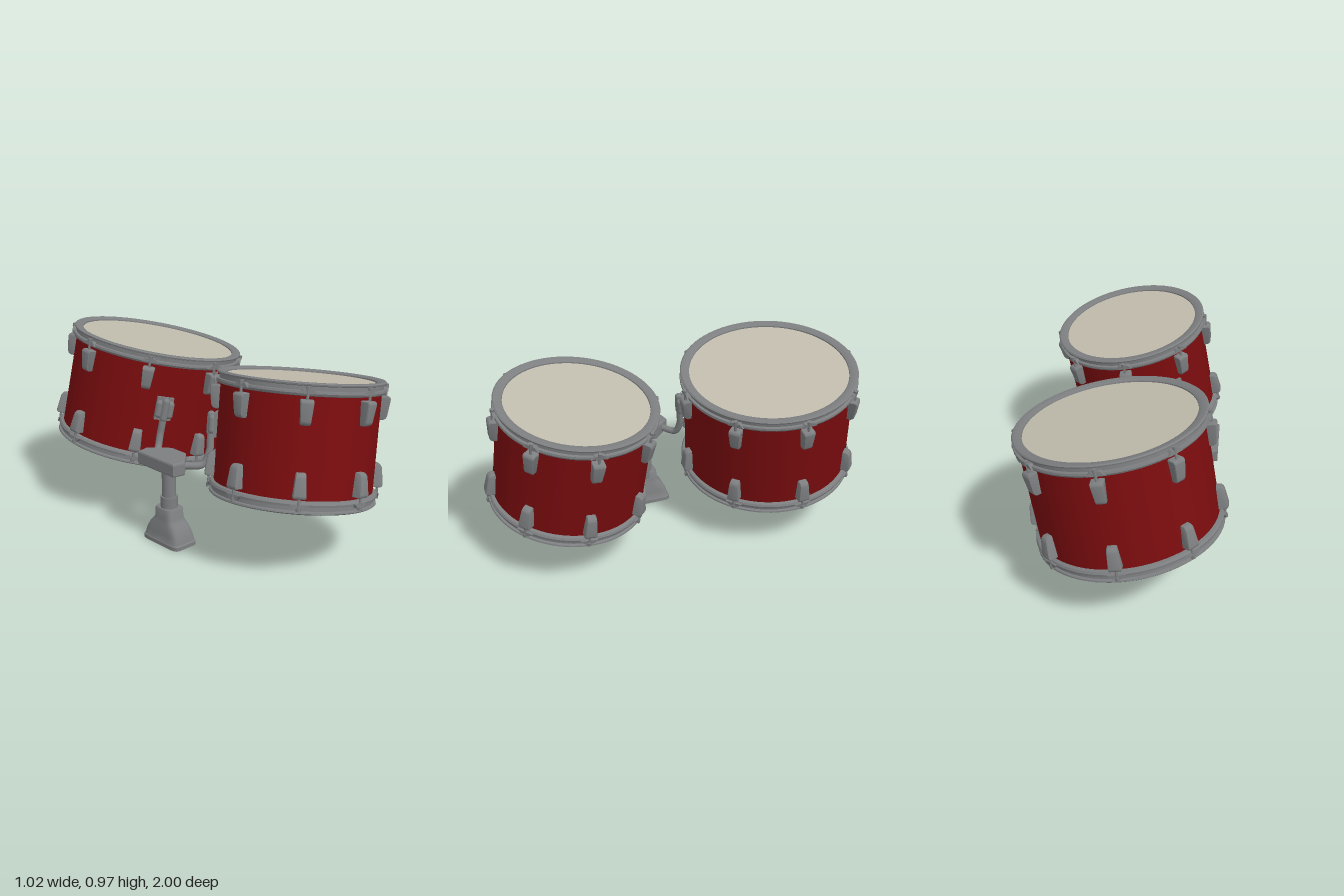
import * as THREE from 'three';
import { toCreasedNormals } from 'three/addons/utils/BufferGeometryUtils.js';

const material = (name, color) => {
  const m = new THREE.MeshStandardMaterial({ color, side: THREE.DoubleSide });
  m.name = name;
  return m;
};

export function createModel() {
  const red = material('shell red', 0x7a0c0e);
  const metal = material('metal grey', 0x7c7e80);
  const skin = material('drumhead cream', 0xc0bbac);
  const model = new THREE.Group();
  model.name = 'doubleTomDrums';

  const add = (parent, name, geo, mat, x = 0, y = 0, z = 0) => {
    const mesh = new THREE.Mesh(geo, mat);
    mesh.name = name;
    mesh.position.set(x, y, z);
    parent.add(mesh);
    return mesh;
  };
  const lathe = (pts, seg = 72) => toCreasedNormals(
    new THREE.LatheGeometry(pts.map(p => new THREE.Vector2(p[0], p[1])), seg), 0.6);

  // Lug casing: side profile extruded across its width, narrowing downwards
  const profile = new THREE.Shape();
  profile.moveTo(-0.01, 0);
  profile.lineTo(0.034, 0);
  profile.quadraticCurveTo(0.042, -0.003, 0.041, -0.012);
  profile.lineTo(0.032, -0.085);
  profile.quadraticCurveTo(0.03, -0.1, 0.016, -0.104);
  profile.lineTo(-0.01, -0.104);
  let lugGeo = new THREE.ExtrudeGeometry(profile,
    { depth: 0.04, bevelThickness: 0.008, bevelSize: 0.005, bevelSegments: 2, curveSegments: 4 });
  lugGeo.translate(0, 0, -0.02);
  const lp = lugGeo.attributes.position;
  for (let i = 0; i < lp.count; i++) lp.setZ(i, lp.getZ(i) * (1.08 + lp.getY(i) * 2.6));
  lugGeo = toCreasedNormals(lugGeo, 0.6);

  // Claw that grips the hoop flange, wider at its foot
  const clawShape = new THREE.Shape([[-0.042, 0], [0.042, 0], [0.022, 0.02], [-0.022, 0.02]]
    .map(p => new THREE.Vector2(p[0], p[1])));
  const clawGeo = new THREE.ExtrudeGeometry(clawShape, { depth: 0.022, bevelEnabled: false });
  clawGeo.rotateY(Math.PI / 2);
  const rodGeo = new THREE.CylinderGeometry(0.0065, 0.0065, 0.07, 10);
  const nutGeo = new THREE.CylinderGeometry(0.011, 0.011, 0.018, 6);

  // One end of a drum: head, hoop and eight tension lugs
  function drumEnd(name, R, half) {
    const end = new THREE.Group();
    end.name = name;
    const head = add(end, 'drumhead', new THREE.CircleGeometry(R - 0.015, 72), skin, 0, half - 0.014, 0);
    head.rotation.x = -Math.PI / 2;
    add(end, 'hoop', lathe([
      [R - 0.028, half - 0.02], [R - 0.026, half - 0.008], [R - 0.01, half],
      [R + 0.014, half], [R + 0.02, half - 0.005], [R + 0.018, half - 0.012],
      [R + 0.007, half - 0.015], [R + 0.007, half - 0.034], [R + 0.02, half - 0.036],
      [R + 0.022, half - 0.046], [R + 0.016, half - 0.056], [R - 0.002, half - 0.06]]), metal);
    for (let i = 0; i < 8; i++) {
      const lug = new THREE.Group();
      lug.name = 'tensionLug' + (i + 1);
      lug.rotation.y = i * Math.PI / 4;
      end.add(lug);
      add(lug, 'lugCasing', lugGeo, metal, R, half - 0.077, 0);
      add(lug, 'hoopClaw', clawGeo, metal, R + 0.006, half - 0.047, 0);
      add(lug, 'tensionRod', rodGeo, metal, R + 0.024, half - 0.055, 0);
      add(lug, 'rodNut', nutGeo, metal, R + 0.024, half - 0.024, 0);
    }
    return end;
  }

  // Whole drum leaning over, with a mount and an arm reaching to the stand
  function drum(name, R, length, top, lean, mountDir, armStart) {
    const g = new THREE.Group();
    g.name = name;
    const axis = new THREE.Vector3(...lean).normalize();
    g.quaternion.setFromUnitVectors(new THREE.Vector3(0, 1, 0), axis);
    g.position.set(...top).addScaledVector(axis, -length / 2);
    model.add(g);
    add(g, 'shell', new THREE.CylinderGeometry(R, R, length - 0.09, 72, 1, true), red);
    g.add(drumEnd('topEnd', R, length / 2));
    const bottom = drumEnd('bottomEnd', R, length / 2);
    bottom.rotation.x = Math.PI;
    g.add(bottom);

    // Ribbed clamp on the shell
    const dir = new THREE.Vector3(mountDir[0], 0, mountDir[1]).normalize();
    const mount = new THREE.Group();
    mount.name = 'armMount';
    mount.position.copy(dir).multiplyScalar(R).setY(0.02);
    mount.rotation.y = Math.atan2(dir.x, dir.z);
    g.add(mount);
    add(mount, 'mountPlate', new THREE.BoxGeometry(0.085, 0.12, 0.025), metal, 0, 0, 0.004);
    for (const s of [-1, 0, 1]) {
      add(mount, 'clampRib', new THREE.CapsuleGeometry(0.019, s ? 0.055 : 0.085, 5, 14), metal,
        s * 0.028, 0, s ? 0.026 : 0.038);
    }

    // Bent arm from the bracket up into the clamp
    g.updateMatrixWorld(true);
    const grip = dir.clone().multiplyScalar(R + 0.034).setY(0.02).applyMatrix4(g.matrixWorld);
    const along = d => grip.clone().addScaledVector(axis, d);
    const start = new THREE.Vector3(...armStart);
    const corner = along(-0.17).setY(start.y);
    const path = new THREE.CatmullRomCurve3([start, start.clone().lerp(corner, 0.75),
      along(-0.13), along(-0.08), along(0.05)]);
    add(model, name + 'Arm', new THREE.TubeGeometry(path, 32, 0.018, 14), metal);
  }

  drum('largeTom', 0.433, 0.59, [0.045, 0.885, -0.48], [0.18, 0.98, 0.09],
    [-0.51, 0.86], [-0.36, 0.432, -0.04]);
  drum('smallTom', 0.378, 0.58, [0.065, 0.88, 0.53], [0.18, 0.98, -0.09],
    [-0.58, -0.81], [-0.36, 0.432, 0.17]);

  // Loft of rounded rectangles: [y, width x, depth z, roundness exponent]
  function loft(rings, n = 40) {
    const pos = [], index = [];
    rings.forEach(([y, w, d, e]) => {
      for (let j = 0; j < n; j++) {
        const c = Math.cos(j / n * Math.PI * 2), s = Math.sin(j / n * Math.PI * 2);
        pos.push(Math.sign(c) * Math.abs(c) ** e * w / 2, y, Math.sign(s) * Math.abs(s) ** e * d / 2);
      }
    });
    for (let i = 0; i < rings.length - 1; i++) {
      for (let j = 0; j < n; j++) {
        const a = i * n + j, b = i * n + (j + 1) % n;
        index.push(a, a + n, b, b, a + n, b + n);
      }
    }
    const geo = new THREE.BufferGeometry();
    geo.setAttribute('position', new THREE.Float32BufferAttribute(pos, 3));
    geo.setIndex(index);
    return toCreasedNormals(geo, 0.6);
  }

  // Stand: flared foot with a recessed underside, collar, post and bracket
  const sx = -0.365, sz = 0.063;
  add(model, 'standFoot', loft([
    [0.015, 0, 0, 0.3], [0.015, 0.115, 0.22, 0.3], [0, 0.125, 0.23, 0.3],
    [0, 0.15, 0.26, 0.3], [0.02, 0.15, 0.26, 0.3], [0.025, 0.142, 0.248, 0.3],
    [0.06, 0.136, 0.23, 0.35], [0.095, 0.125, 0.195, 0.4], [0.12, 0.113, 0.15, 0.45],
    [0.135, 0.108, 0.13, 0.5], [0.18, 0.104, 0.126, 0.5], [0.187, 0.096, 0.118, 0.5],
    [0.187, 0, 0, 0.5]]), metal, sx, 0, sz);
  add(model, 'standCollar', new THREE.CylinderGeometry(0.043, 0.043, 0.07, 32), metal, sx, 0.21, sz);
  add(model, 'standPost', new THREE.CylinderGeometry(0.035, 0.035, 0.2, 32), metal, sx, 0.33, sz);
  const plan = new THREE.Shape([[-0.44, -0.06], [-0.39, -0.07], [-0.305, 0.015],
    [-0.305, 0.111], [-0.39, 0.196], [-0.44, 0.186]].map(p => new THREE.Vector2(p[0], p[1])));
  const bracketGeo = new THREE.ExtrudeGeometry(plan,
    { depth: 0.05, bevelThickness: 0.01, bevelSize: 0.01, bevelSegments: 2 });
  bracketGeo.rotateX(Math.PI / 2);
  add(model, 'standBracket', bracketGeo, metal, 0, 0.458, 0);
  return model;
}
